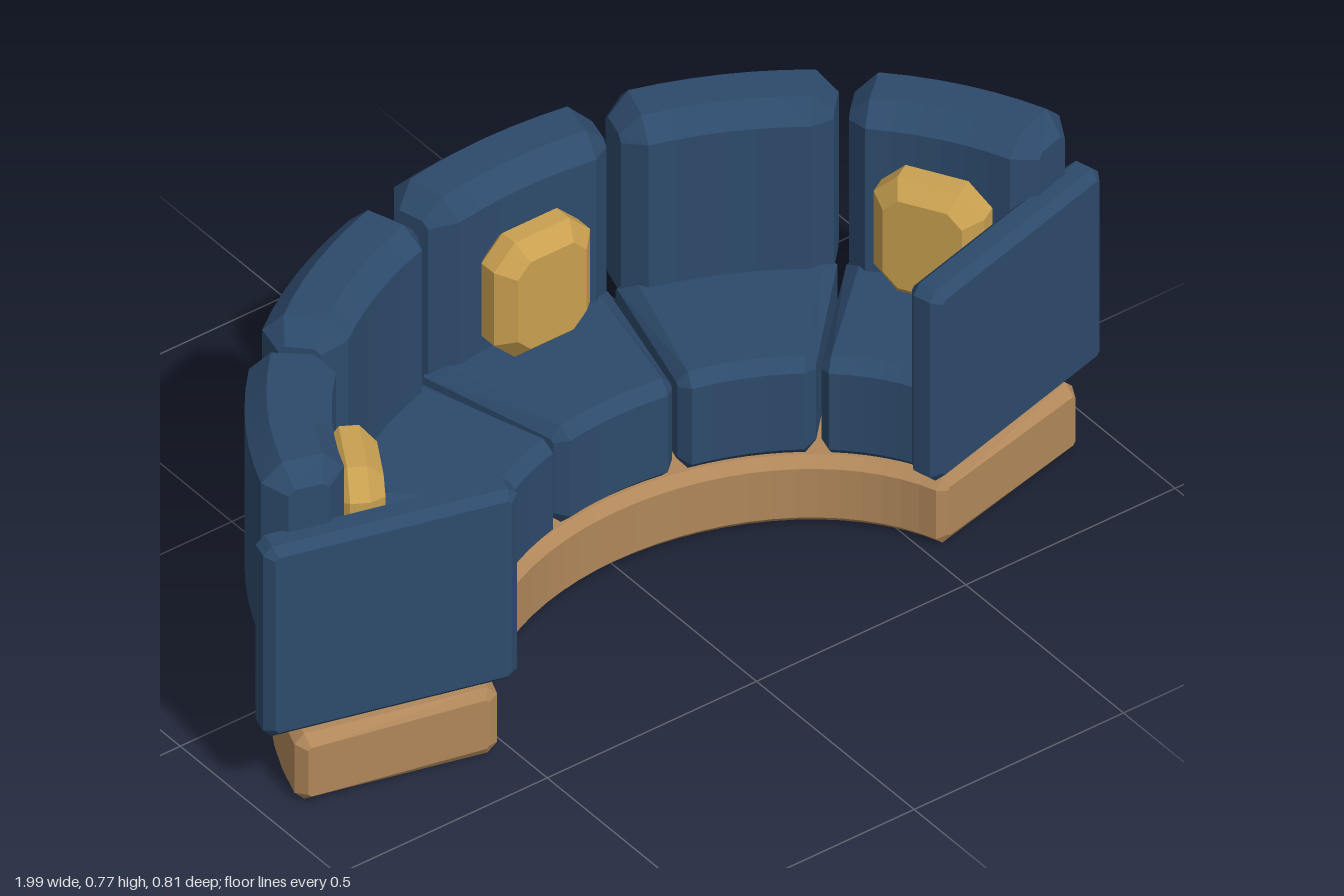
import * as THREE from 'three';

const DEG = Math.PI / 180;
const CENTRE_Z = 0.48; // centre of the curve
const STRETCH = 0.12;  // extra radius across x

const onCurve = (deg, r, y) => new THREE.Vector3(
  (r + STRETCH) * Math.sin(deg * DEG), y, CENTRE_Z - r * Math.cos(deg * DEG));

const material = (color) => new THREE.MeshStandardMaterial({ color, flatShading: true });

// Rectangle with cut corners as a counter-clockwise list of points
function cutRect(x0, x1, y0, y1, c) {
  return [[x0 + c, y0], [x1 - c, y0], [x1, y0 + c], [x1, y1 - c],
    [x1 - c, y1], [x0 + c, y1], [x0, y1 - c], [x0, y0 + c]];
}

// Curved block with chamfered edges, swept along the arc from a0 to a1 degrees
function arcBlock(a0, a1, r0, r1, y0, y1, c, steps) {
  const endCut = c / ((r0 + r1) / 2 + STRETCH / 2) / DEG;
  const full = cutRect(r0, r1, y0, y1, c);
  const inset = cutRect(r0 + c, r1 - c, y0 + c, y1 - c, c * 0.3);
  const rings = [[a0, inset]];
  for (let i = 0; i <= steps; i++) {
    rings.push([a0 + endCut + (a1 - a0 - 2 * endCut) * i / steps, full]);
  }
  rings.push([a1, inset]);

  const pos = [], index = [], n = full.length;
  for (const [deg, section] of rings) {
    for (const [r, y] of section) pos.push(...onCurve(deg, r, y).toArray());
  }
  const last = (rings.length - 1) * n;
  for (let i = 0; i < last; i += n) {
    for (let j = 0; j < n; j++) {
      const k = (j + 1) % n;
      index.push(i + j, i + k, i + n + k, i + j, i + n + k, i + n + j);
    }
  }
  for (let j = 1; j < n - 1; j++) {
    index.push(0, j + 1, j, last, last + j, last + j + 1); // end caps
  }
  const g = new THREE.BufferGeometry();
  g.setAttribute('position', new THREE.Float32BufferAttribute(pos, 3));
  g.setIndex(index);
  g.computeVertexNormals();
  return g;
}

// Upright slab with cut corners and bevelled faces, centred on the origin
function slab(w, h, d, corner, bevel) {
  const shape = new THREE.Shape(
    cutRect(-w / 2, w / 2, -h / 2, h / 2, corner).map(([x, y]) => new THREE.Vector2(x, y)));
  const g = new THREE.ExtrudeGeometry(shape, {
    depth: d - 2 * bevel, bevelThickness: bevel, bevelSize: bevel,
    bevelOffset: -bevel, bevelSegments: 1,
  });
  return g.translate(0, 0, -(d - 2 * bevel) / 2);
}

export function createModel() {
  const model = new THREE.Group();
  const fabric = material(0x2d4a6b);
  const wood = material(0xb08850);
  wood.color.set(0xb0875a);
  const gold = material(0xc9a050);

  const add = (name, geometry, mat) => {
    const mesh = new THREE.Mesh(geometry, mat);
    mesh.name = name;
    model.add(mesh);
    return mesh;
  };

  // Curved plinth
  add('base', arcBlock(-77, 77, 0.422, 0.84, 0, 0.157, 0.02, 30), wood);

  // Five seat cushions with their backrests
  for (let i = -2; i <= 2; i++) {
    const a = i * 30;
    add('seatCushion', arcBlock(a - 14.4, a + 14.4, 0.425, 0.8, 0.157, 0.39, 0.025, 6), fabric);
    add('backCushion', arcBlock(a - 14, a + 14, 0.72, 0.887, 0.315, 0.775, 0.042, 6), fabric);
  }

  // Arm panels closing both ends
  for (const side of [-1, 1]) {
    const arm = add(side > 0 ? 'leftArm' : 'rightArm', slab(0.522, 0.457, 0.075, 0.018, 0.018), fabric);
    arm.position.set(side * 0.74, 0.407, 0.308);
    arm.rotation.y = side * 15 * DEG;
  }

  // Throw pillows on the middle and end seats
  for (const a of [-60, 0, 60]) {
    const pillow = add('pillow', slab(0.23, 0.275, 0.105, 0.05, 0.033), gold);
    pillow.position.copy(onCurve(a, 0.68, 0.53));
    pillow.rotation.y = -a * DEG;
  }
  return model;
}
